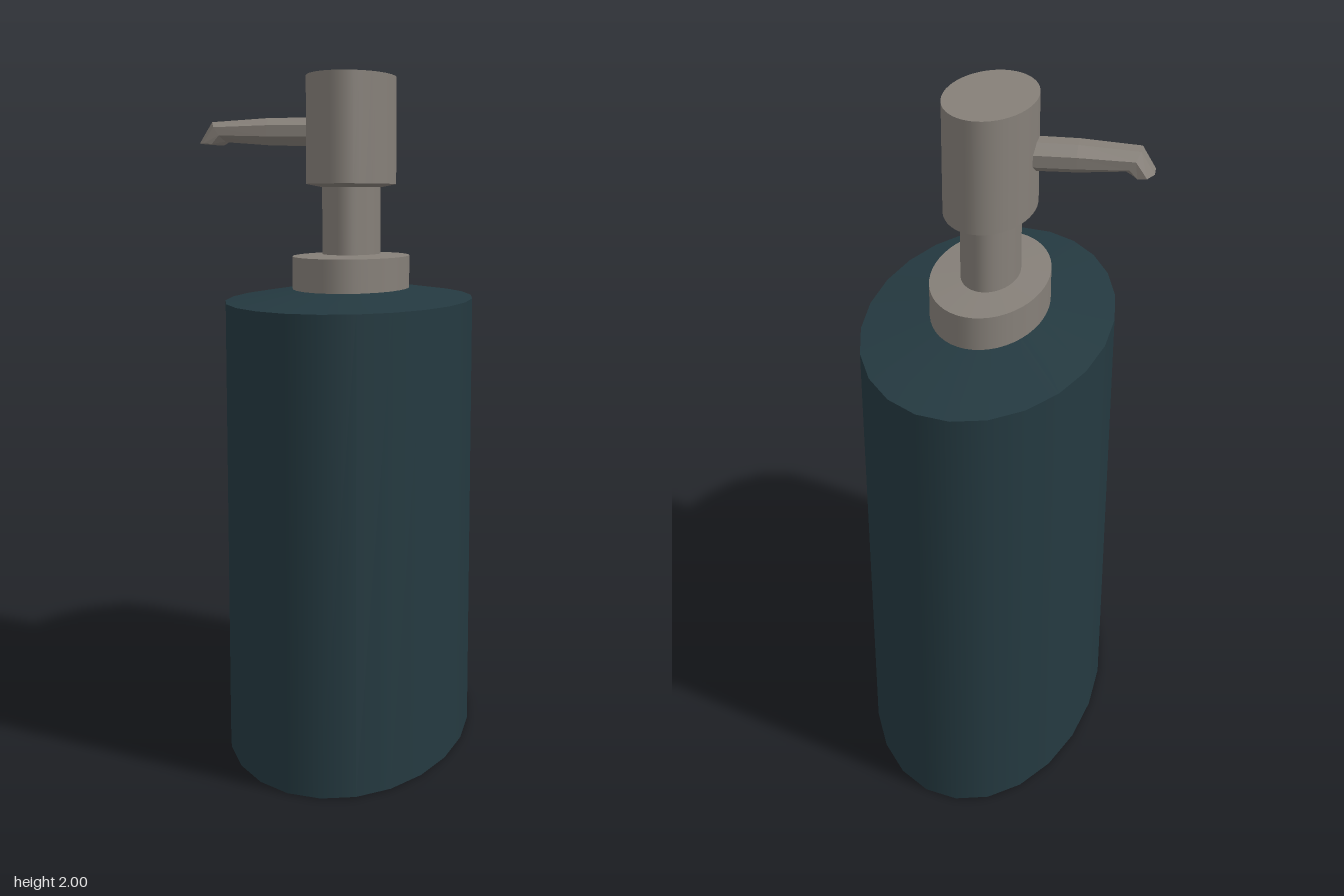
import * as THREE from 'three';

const MINOR = 0.371, MAJOR = 0.668; // half axes of the oval bottle

export function createModel() {
  const glaze = new THREE.MeshStandardMaterial({ color: 0x243940 });
  glaze.name = 'dark teal';
  const metal = new THREE.MeshStandardMaterial({ color: 0x857f78 });
  metal.name = 'warm grey metal';
  const spoutMetal = metal.clone();
  spoutMetal.flatShading = true;

  const model = new THREE.Group();
  model.name = 'soapDispenser';

  // Oval ring wall between two heights; sizes are fractions of the bottle oval
  function oval(name, y0, y1, bottom, top, sides, material, open = true) {
    const g = new THREE.CylinderGeometry(top, bottom, y1 - y0, sides, 1, open);
    g.scale(MINOR, 1, MAJOR).translate(0, (y0 + y1) / 2, 0);
    const mesh = new THREE.Mesh(g, material);
    mesh.name = name;
    model.add(mesh);
  }

  // Bottle
  oval('bottleBody', 0, 1.335, 1, 1, 24, glaze);
  oval('bottleShoulder', 1.335, 1.367, 1, 0.46, 24, glaze);
  const base = new THREE.Mesh(
    new THREE.CircleGeometry(1, 24).rotateX(Math.PI / 2).scale(MINOR, 1, MAJOR), metal);
  base.name = 'bottleBase';
  model.add(base);

  // Pump: collar, stem and head
  oval('collar', 1.362, 1.464, 0.474, 0.474, 48, metal);
  oval('collarTop', 1.464, 1.47, 0.474, 0.23, 48, metal);
  oval('stem', 1.465, 1.675, 0.236, 0.236, 48, metal);
  oval('headUnderside', 1.67, 1.68, 0.23, 0.363, 48, metal);
  oval('head', 1.68, 2, 0.363, 0.363, 48, metal, false);

  // Spout: octagonal rings given by top point, bottom point and half width
  const rings = [
    [0.08, 1.879, 0.08, 1.795, 0.077],
    [0.25, 1.878, 0.25, 1.798, 0.076],
    [0.425, 1.867, 0.385, 1.808, 0.072],
    [0.465, 1.803, 0.4, 1.799, 0.068],
  ];
  const sides = 8, points = [], faces = [];
  for (const [xt, yt, xb, yb, w] of rings) {
    for (let i = 0; i < sides; i++) {
      const a = ((i + 0.5) / sides) * Math.PI * 2;
      const t = (1 + Math.cos(a) / Math.cos(Math.PI / sides)) / 2;
      points.push(-(xb + (xt - xb) * t), yb + (yt - yb) * t, w * Math.sin(a));
    }
  }
  for (let r = 0; r < rings.length - 1; r++) {
    for (let i = 0; i < sides; i++) {
      const j = (i + 1) % sides;
      const a = r * sides + i, b = r * sides + j, c = a + sides, d = b + sides;
      faces.push(a, c, b, b, c, d);
    }
  }
  const last = (rings.length - 1) * sides;
  for (let i = 1; i < sides - 1; i++) faces.push(last, last + i + 1, last + i);
  const g = new THREE.BufferGeometry();
  g.setAttribute('position', new THREE.Float32BufferAttribute(points, 3));
  g.setIndex(faces);
  g.computeVertexNormals();
  spoutMetal.side = THREE.DoubleSide;
  const spout = new THREE.Mesh(g, spoutMetal);
  spout.name = 'spout';
  model.add(spout);

  // The whole dispenser stands turned about its upright axis
  model.rotation.y = THREE.MathUtils.degToRad(32.2);
  const group = new THREE.Group();
  group.name = 'dispenser';
  group.add(model);
  return group;
}
